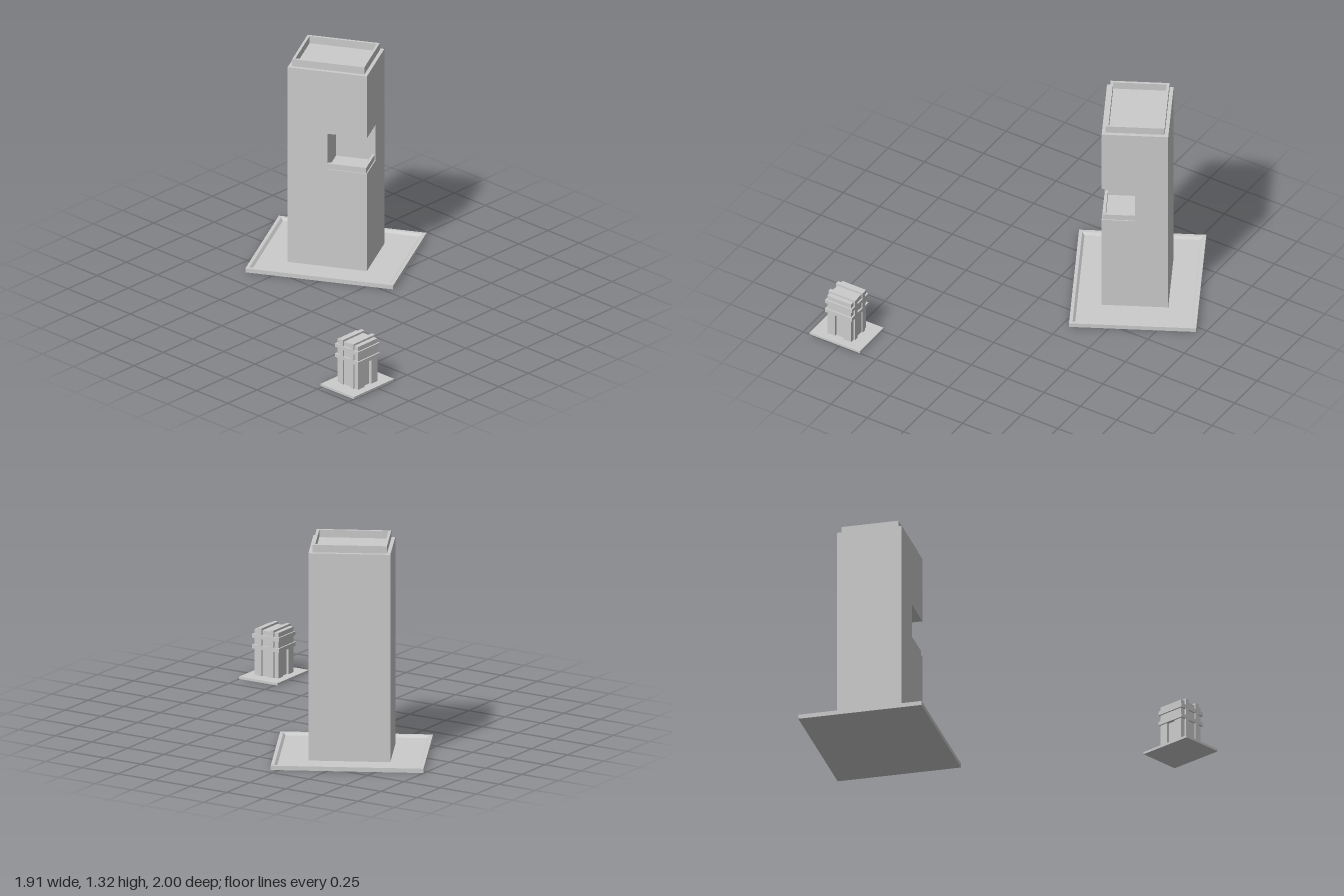
import * as THREE from 'three';

const grey = new THREE.MeshStandardMaterial({ color: 0xcccccc, flatShading: true });

function add(parent, name, geometry) {
  const mesh = new THREE.Mesh(geometry, grey);
  mesh.name = name;
  parent.add(mesh);
  return mesh;
}

// Box given by its lower and upper limits on each axis
function block(parent, name, [x0, x1], [y0, y1], [z0, z1]) {
  const mesh = add(parent, name, new THREE.BoxGeometry(x1 - x0, y1 - y0, z1 - z0));
  mesh.position.set((x0 + x1) / 2, (y0 + y1) / 2, (z0 + z1) / 2);
  return mesh;
}

// Plan outline of [x, z] points raised from y0 to y1
function prism(parent, name, plan, y0, y1) {
  const shape = new THREE.Shape(plan.map(([x, z]) => new THREE.Vector2(x, -z)));
  const geometry = new THREE.ExtrudeGeometry(shape, { depth: y1 - y0, bevelEnabled: false });
  geometry.rotateX(-Math.PI / 2).translate(0, y0, 0);
  return add(parent, name, geometry);
}

// Rectangular frame: a closed profile of [inset, y] points swept around four mitred sides
function frame(parent, name, w, d, profile) {
  const corners = [[-1, 1], [1, 1], [1, -1], [-1, -1]];
  const point = (c, [inset, y]) => [c[0] * (w / 2 - inset), y, c[1] * (d / 2 - inset)];
  const positions = [];
  corners.forEach((c, i) => {
    const next = corners[(i + 1) % 4];
    profile.forEach((p, j) => {
      const q = profile[(j + 1) % profile.length];
      const [a, b, e, f] = [point(c, p), point(next, p), point(next, q), point(c, q)];
      positions.push(...a, ...b, ...e, ...a, ...e, ...f);
    });
  });
  const geometry = new THREE.BufferGeometry();
  geometry.setAttribute('position', new THREE.Float32BufferAttribute(positions, 3));
  geometry.computeVertexNormals();
  return add(parent, name, geometry);
}

function createTower() {
  const tower = new THREE.Group();
  tower.name = 'tower';
  const w = 0.39, d = 0.48, x = w / 2, z = d / 2;

  // Plot with a raised kerb that slopes inward
  block(tower, 'plotFloor', [-0.355, 0.355], [0, 0.012], [-0.43, 0.43]);
  frame(tower, 'plotKerb', 0.745, 0.895, [[0, 0], [0, 0.026], [0.02, 0.026], [0.034, 0.012], [0.034, 0]]);

  // Shaft with one quarter cut away to form the terrace
  block(tower, 'lowerShaft', [-x, x], [0, 0.64], [-z, z]);
  prism(tower, 'terraceStorey', [[-x, 0], [0, 0], [0, z], [x, z], [x, -z], [-x, -z]], 0.64, 0.87);
  block(tower, 'upperShaft', [-x, x], [0.87, 1.27], [-z, z]);

  // Terrace rail follows the two open sides
  const g = 0.006, t = 0.022;
  prism(tower, 'terraceRail',
    [[-x + g, 0], [-x + g, z - g], [0, z - g], [0, z - t], [-x + t, z - t], [-x + t, 0]], 0.64, 0.675);

  // Roof parapet
  frame(tower, 'roofParapet', 0.345, 0.437, [[0, 1.27], [0, 1.315], [0.016, 1.315], [0.016, 1.27]]);
  return tower;
}

function createPavilion() {
  const pavilion = new THREE.Group();
  pavilion.name = 'pavilion';
  block(pavilion, 'pavilionPlate', [-0.172, 0.172], [0, 0.014], [-0.133, 0.133]);

  // Storeys, with the ground floor split into three bays
  block(pavilion, 'upperStoreys', [-0.082, 0.082], [0.185, 0.29], [-0.083, 0.083]);
  for (const s of [-1, 0, 1]) {
    const half = s === 0 ? 0.07 : 0.083;
    block(pavilion, 'groundBay', [s * 0.056 - 0.026, s * 0.056 + 0.026], [0.014, 0.185], [-half, half]);
  }
  block(pavilion, 'core', [-0.07, 0.07], [0.014, 0.185], [-0.055, 0.055]);

  // Horizontal bands
  for (const y of [0.185, 0.25]) {
    frame(pavilion, 'band', 0.184, 0.184,
      [[0, y - 0.012], [0, y + 0.012], [0.02, y + 0.012], [0.02, y - 0.012]]);
  }

  // Ribs climbing both sides and crossing the roof
  for (const z of [-0.042, 0.042]) {
    const [z0, z1] = [z - 0.013, z + 0.013];
    for (const s of [-1, 1]) {
      block(pavilion, 'ribPost', [s * 0.085 - 0.007, s * 0.085 + 0.007], [0.014, 0.288], [z0, z1]);
    }
    block(pavilion, 'ribBeam', [-0.092, 0.092], [0.288, 0.302], [z0, z1]);
  }
  return pavilion;
}

export function createModel() {
  const model = new THREE.Group();
  model.name = 'buildings';

  const tower = createTower();
  tower.position.set(0.414, 0, -0.428);
  tower.rotation.y = THREE.MathUtils.degToRad(28);

  const pavilion = createPavilion();
  pavilion.position.set(-0.783, 0, 0.867);

  model.add(tower, pavilion);
  return model;
}
